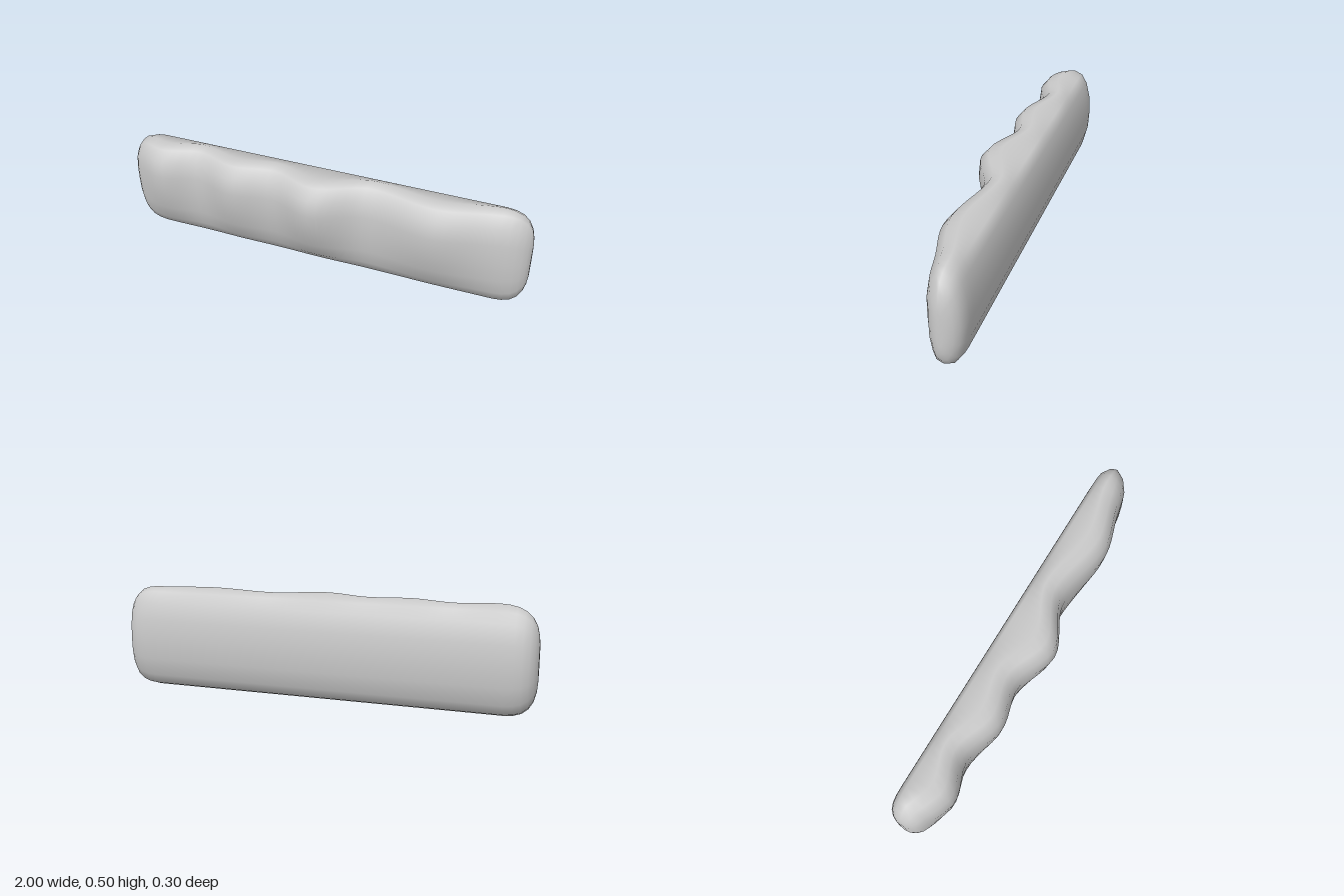
import * as THREE from 'three';

const MID_Z = -0.055, MID_Y = 0.25;

// Front half of the section, top to bottom: [y, depth, how strongly it follows the bulges]
const FRONT = [
  [0.5, 0.06, 0.875], [0.485, 0.115, 1], [0.435, 0.155, 1.05], [0.355, 0.165, 1],
  [0.255, 0.15, 0.82], [0.155, 0.123, 0.55], [0.072, 0.085, 0.3], [0.02, 0.043, 0.05], [0.002, 0, 0],
];
// Back half, bottom to top: [y, depth]
const BACK = [
  [0.017, -0.038], [0.065, -0.068], [0.15, -0.088], [0.25, -0.093],
  [0.345, -0.087], [0.43, -0.067], [0.48, -0.038],
];
// Front depth along the bar: [x, depth]
const BULGE = [
  [-1, 0.1], [-0.95, 0.1], [-0.9, 0.122], [-0.8, 0.157], [-0.62, 0.106], [-0.41, 0.168],
  [-0.22, 0.13], [0, 0.202], [0.26, 0.106], [0.57, 0.159], [0.8, 0.105], [0.92, 0.08], [1, 0.06],
];
// Rounded ends: [distance from middle, height scale, depth scale]
const ENDS = [
  [0.86, 1, 1], [0.9, 0.98, 0.99], [0.935, 0.93, 0.95], [0.965, 0.83, 0.82],
  [0.985, 0.69, 0.6], [0.996, 0.52, 0.35], [1, 0.35, 0.15],
];

// Smooth interpolation between the bulge crests and dips
function bulgeAt(x) {
  let i = 0;
  while (i < BULGE.length - 2 && x > BULGE[i + 1][0]) i++;
  const [x0, a] = BULGE[i], [x1, b] = BULGE[i + 1];
  const slope = (k) => {
    if (k <= 0 || k >= BULGE.length - 1) return 0;
    const p = BULGE[k - 1], q = BULGE[k], r = BULGE[k + 1];
    const s = (q[1] - p[1]) / (q[0] - p[0]), t = (r[1] - q[1]) / (r[0] - q[0]);
    return s * t > 0 ? (2 * s * t) / (s + t) : 0;
  };
  const w = x1 - x0, t = (x - x0) / w, t2 = t * t, t3 = t2 * t;
  return (2 * t3 - 3 * t2 + 1) * a + (t3 - 2 * t2 + t) * w * slope(i)
    + (3 * t2 - 2 * t3) * b + (t3 - t2) * w * slope(i + 1);
}

function buildBar() {
  // Stations from one rounded end to the other
  const stations = ENDS.map(([x, h, d]) => [-x, h, d]).reverse();
  const steps = 44;
  for (let i = 1; i < steps; i++) stations.push([-0.86 + (1.72 * i) / steps, 1, 1]);
  stations.push(...ENDS);

  const positions = [], index = [];
  for (const [x, h, d] of stations) {
    const extra = bulgeAt(x) - 0.165;
    const section = FRONT.map(([y, z, w]) => [y, Math.max(0, z + w * extra)]).concat(BACK);
    for (const [y, z] of section) positions.push(x, MID_Y + (y - MID_Y) * h, MID_Z + z * d);
  }

  const n = FRONT.length + BACK.length, last = stations.length - 1;
  for (let i = 0; i < last; i++) {
    for (let j = 0; j < n; j++) {
      const a = i * n + j, b = i * n + ((j + 1) % n);
      index.push(a, b, a + n, b, b + n, a + n);
    }
  }
  // Close both ends
  const pole = positions.length / 3;
  positions.push(-1, MID_Y, MID_Z, 1, MID_Y, MID_Z);
  for (let j = 0; j < n; j++) {
    const k = (j + 1) % n;
    index.push(pole, k, j, pole + 1, last * n + j, last * n + k);
  }

  const geometry = new THREE.BufferGeometry();
  geometry.setAttribute('position', new THREE.Float32BufferAttribute(positions, 3));
  geometry.setIndex(index);
  geometry.computeVertexNormals();
  return geometry;
}

export function createModel() {
  const group = new THREE.Group();
  const bar = new THREE.Mesh(buildBar(), new THREE.MeshStandardMaterial({ color: 0xcccccc }));
  bar.name = 'wavyGrip';
  group.add(bar);
  return group;
}
